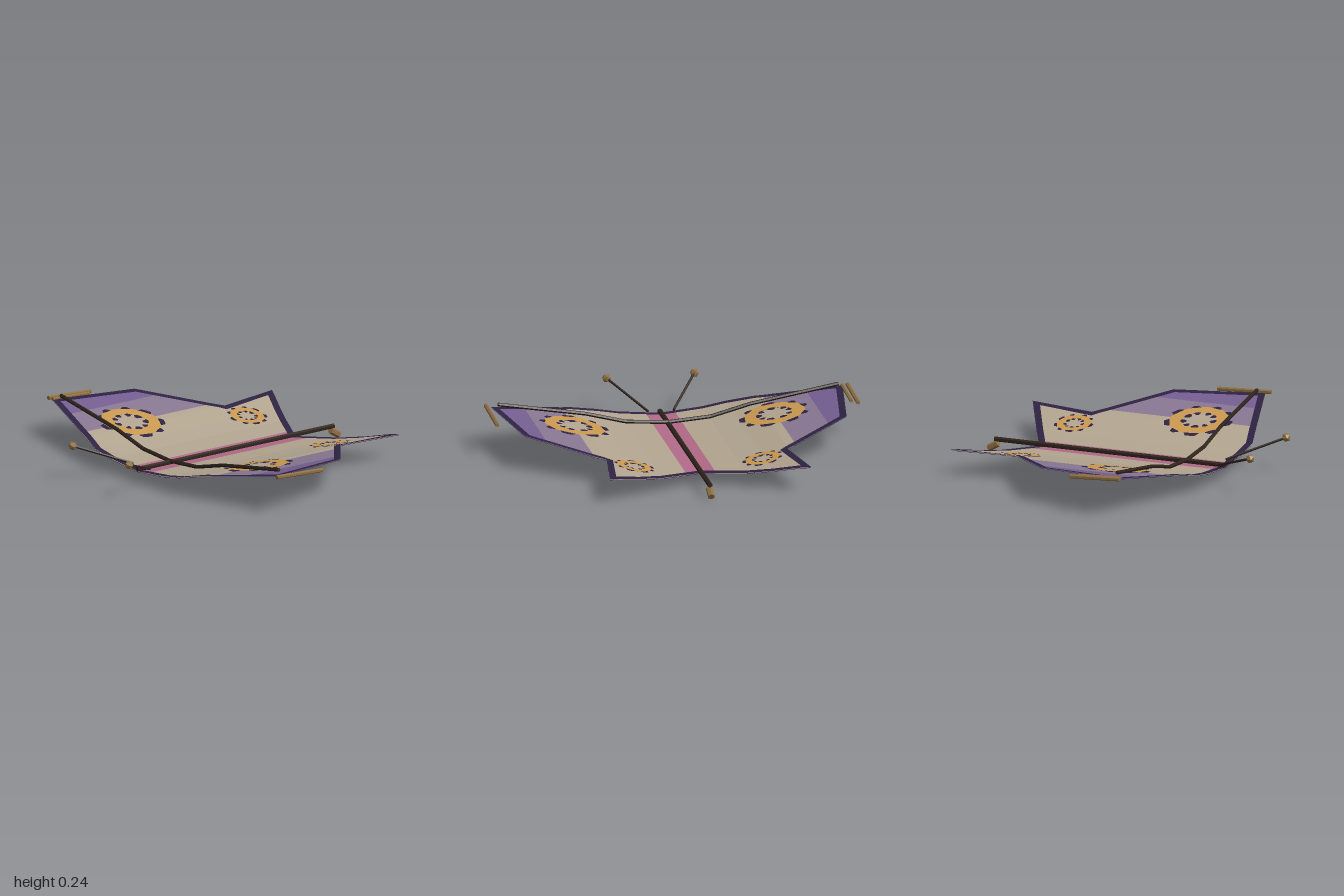
import * as THREE from 'three';

const paint = (name, color, side = THREE.FrontSide) => {
  const m = new THREE.MeshStandardMaterial({ color, side, flatShading: true });
  m.name = name;
  return m;
};

// Half outline of the sail as [x, z], from the nose around to the tail notch
const HALF = [[0.36, 0.56], [0.96, 0.37], [0.88, -0.13], [0.495, -0.44], [0.55, -0.81]];
// Dihedral of the sail as [x, y]
const BEND = [[0, 0.06], [0.23, 0.082], [0.36, 0.105], [0.5, 0.137], [0.55, 0.144], [0.88, 0.2], [0.97, 0.214]];
// Colour bands and bends both need a cut through the cloth
const CUTS = [-1.1, -0.97, -0.88, -0.77, -0.55, -0.5, -0.36, -0.23, -0.08, 0, 0.08, 0.23, 0.36, 0.5, 0.55, 0.77, 0.88, 0.97, 1.1];

function sailHeight(x) {
  const a = Math.min(Math.abs(x), 0.97);
  const i = Math.max(1, BEND.findIndex(p => p[0] >= a));
  const [p, q] = [BEND[i - 1], BEND[i]];
  return p[1] + (q[1] - p[1]) * (a - p[0]) / (q[0] - p[0]);
}

// Keep the part of a polygon where sign * (x - cut) >= 0
function clip(poly, cut, sign) {
  const out = [];
  poly.forEach((p, i) => {
    const q = poly[(i + 1) % poly.length];
    const dp = sign * (p.x - cut), dq = sign * (q.x - cut);
    if (dp >= 0) out.push(p);
    if (dp * dq < 0) out.push(p.clone().lerp(q, dp / (dp - dq)));
  });
  return out;
}

// Flat pattern piece (x, z), cut into strips and bent onto the sail
function cloth(contour, holes, lift, keep = () => true) {
  const pts = [...contour, ...holes.flat()];
  const pos = [];
  for (const face of THREE.ShapeUtils.triangulateShape(contour, holes)) {
    const tri = face.map(i => pts[i]);
    if (!THREE.ShapeUtils.isClockWise(tri)) tri.reverse();
    for (let c = 0; c < CUTS.length - 1; c++) {
      if (!keep(Math.abs(CUTS[c] + CUTS[c + 1]) / 2)) continue;
      const part = clip(clip(tri, CUTS[c], 1), CUTS[c + 1], -1);
      for (let k = 1; k < part.length - 1; k++) {
        for (const p of [part[0], part[k], part[k + 1]]) pos.push(p.x, sailHeight(p.x) + lift, p.y);
      }
    }
  }
  const g = new THREE.BufferGeometry();
  g.setAttribute('position', new THREE.Float32BufferAttribute(pos, 3));
  g.computeVertexNormals();
  return g;
}

// Parallel inset of a closed outline
function inset(poly, d) {
  const n = poly.length, turn = THREE.ShapeUtils.isClockWise(poly) ? -1 : 1;
  return poly.map((p, i) => {
    const a = p.clone().sub(poly[(i + n - 1) % n]).normalize();
    const b = poly[(i + 1) % n].clone().sub(p).normalize();
    const na = new THREE.Vector2(-a.y, a.x), nb = new THREE.Vector2(-b.y, b.x);
    return p.clone().addScaledVector(na.clone().add(nb), turn * d / (1 + na.dot(nb)));
  });
}

// Circle whose radius steps between two values for a blotchy edge
function loop(x, z, r0, r1 = r0, mirror = 1, n = 44) {
  return Array.from({ length: n }, (_, i) => {
    const a = i / n * Math.PI * 2;
    const r = Math.sin(a * 9 + Math.sin(a * 2)) > 0 ? r1 : r0;
    return new THREE.Vector2(mirror * (x + Math.cos(a) * r), z + Math.sin(a) * r);
  });
}

export function createModel() {
  const model = new THREE.Group();
  const both = THREE.DoubleSide;
  const cream = paint('cream cloth', 0xb3a691, both);
  const pink = paint('pink cloth', 0xb26a88, both);
  const mauve = paint('mauve cloth', 0x8a7893, both);
  const purple = paint('purple cloth', 0x755f92, both);
  const dark = paint('dark violet trim', 0x2e2342, both);
  const gold = paint('gold cloth', 0xcb9a50, both);
  const wood = paint('dark wood', 0x2f241c);
  const bronze = paint('bronze', 0x8f6f42);

  const add = (name, geometry, material) => {
    const mesh = new THREE.Mesh(geometry, material);
    mesh.name = name;
    model.add(mesh);
    return mesh;
  };
  const rod = (name, from, to, radius, material, sides = 6) => {
    const a = new THREE.Vector3(...from), b = new THREE.Vector3(...to);
    const dir = b.clone().sub(a);
    const mesh = add(name, new THREE.CylinderGeometry(radius, radius, dir.length(), sides), material);
    mesh.position.copy(a).add(b).multiplyScalar(0.5);
    mesh.quaternion.setFromUnitVectors(new THREE.Vector3(0, 1, 0), dir.normalize());
    return mesh;
  };
  // Painted shapes appear on both faces of the cloth
  const print = (name, contour, holes, lift, material) => {
    for (const s of [1, -1]) add(name, cloth(contour, holes, s * lift), material);
  };

  // Sail, in colour bands from the centre out to the wing tips
  const outline = [
    ...HALF.map(([x, z]) => new THREE.Vector2(x, z)),
    new THREE.Vector2(0, -0.53),
    ...[...HALF].reverse().map(([x, z]) => new THREE.Vector2(-x, z)),
  ];
  const bands = [
    ['centreStripe', 0, 0.08, pink], ['sail', 0.08, 0.55, cream],
    ['outerWing', 0.55, 0.77, mauve], ['wingTip', 0.77, 1.1, purple],
  ];
  for (const [name, from, to, material] of bands) {
    add(name, cloth(outline, [], 0, x => x > from && x < to), material);
  }
  print('sailBorder', outline, [inset(outline, 0.036)], 0.0025, dark);

  for (const s of [1, -1]) {
    // Eye spots: pale disc, blotchy dark ring, gold ring
    for (const [name, x, z, r] of [['wingEye', 0.545, 0.165, 0.165], ['tailEye', 0.35, -0.48, 0.095]]) {
      print(name + 'Centre', loop(x, z, r * 0.6, r * 0.6, s), [], 0.0015, cream);
      print(name + 'Dark', loop(x, z, r * 0.96, r * 1.14, s), [loop(x, z, r * 0.56, r * 0.4, s)], 0.003, dark);
      print(name + 'Gold', loop(x, z, r, r * 0.96, s), [loop(x, z, r * 0.55, r * 0.6, s)], 0.0045, gold);
    }

    // Bent cross spar lying over the wing
    const spar = [[0, 0.08], [0.23, 0.097], [0.45, 0.155], [0.93, 0.237]];
    for (let i = 0; i < 3; i++) {
      const [a, b] = [spar[i], spar[i + 1]];
      rod('crossSpar', [s * a[0], a[1], 0.335], [s * b[0], b[1], 0.335], 0.0105, wood);
    }

    // Antenna with a faceted knob
    rod('antenna', [s * 0.07, 0.085, 0.53], [s * 0.24, 0.195, 0.81], 0.007, wood, 5);
    const knob = add('antennaKnob', new THREE.IcosahedronGeometry(0.025, 0), bronze);
    knob.position.set(s * 0.24, 0.195, 0.81);
  }

  // Spine and its tail weight
  rod('spine', [0, 0.073, 0.56], [0, 0.073, -0.79], 0.0135, wood);
  rod('tailWeight', [0, 0.051, -0.77], [0, 0.019, -0.825], 0.019, bronze);

  // Loose rods hanging beside the wing tips
  rod('tipRod', [0.985, 0.218, 0.395], [0.985, 0.203, 0.08], 0.0115, bronze);
  rod('tipRod', [-0.988, 0.218, 0.375], [-0.988, 0.204, 0.085], 0.0115, bronze);
  rod('tipRod', [-0.957, 0.217, 0.37], [-0.957, 0.205, 0.12], 0.0095, bronze);

  return model;
}
